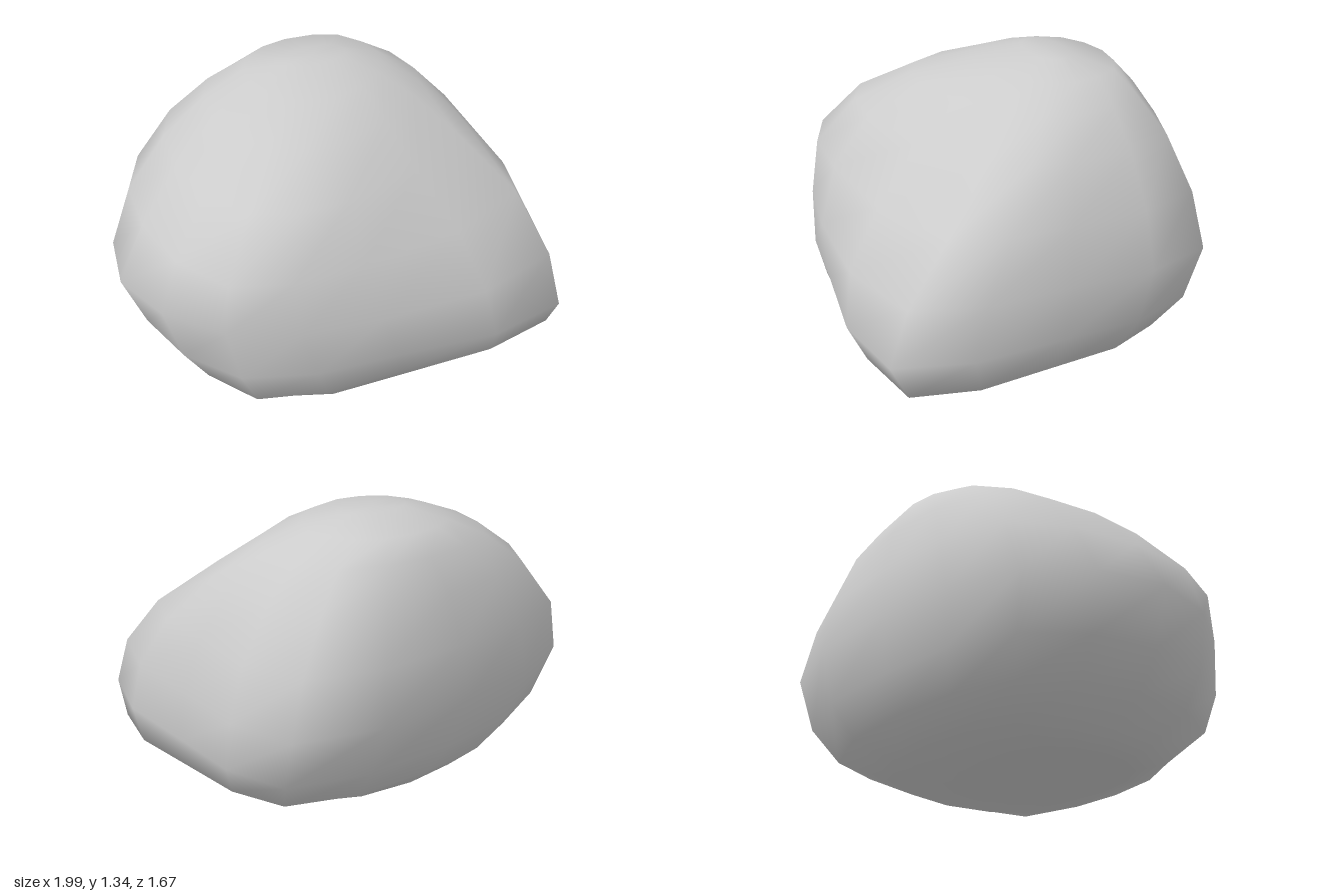
import * as THREE from 'three';

// Horizontal cross-sections from bottom to top: height, x range, z range, x of the
// foremost point, x and z of the front-left ridge, then how far the section reaches
// into the front-right, back-right and back-left corners of its bounding rectangle
const SECTIONS = [
  [0.0, -0.46, 0.36, -0.25, 0.42, -0.08, 0.20, 0.31, 0.78, 0.75, 0.75],
  [0.05, -0.57, 0.69, -0.51, 0.60, 0.05, 0.52, 0.47, 0.79, 0.75, 0.77],
  [0.17, -0.76, 0.92, -0.65, 0.70, 0.08, 0.89, 0.70, 0.81, 0.74, 0.83],
  [0.33, -0.90, 0.97, -0.75, 0.76, 0.02, 0.89, 0.78, 0.76, 0.73, 0.87],
  [0.57, -1.00, 0.96, -0.81, 0.76, -0.06, 0.87, 0.69, 0.72, 0.73, 0.90],
  [0.82, -0.86, 0.89, -0.79, 0.67, -0.12, 0.80, 0.48, 0.82, 0.78, 0.88],
  [1.05, -0.66, 0.76, -0.74, 0.50, -0.10, 0.62, 0.22, 0.82, 0.77, 0.84],
  [1.20, -0.44, 0.62, -0.66, 0.27, -0.02, 0.48, 0.05, 0.79, 0.76, 0.79],
  [1.29, -0.22, 0.46, -0.59, 0.04, 0.08, 0.36, -0.08, 0.75, 0.73, 0.75],
  [1.34, -0.05, 0.29, -0.38, -0.20, 0.12, 0.24, -0.22, 0.71, 0.71, 0.71],
];
const SIDES = 16;

// One closed ring of points around a section, running from +x towards +z
function ring([y, x0, x1, z0, z1, frontX, ridgeX, ridgeZ, frontRight, backRight, backLeft]) {
  const cx = (x0 + x1) / 2, cz = (z0 + z1) / 2;
  const corner = (x, z, reach) => [cx + (x - cx) * reach, cz + (z - cz) * reach];
  const outline = [
    [x1, cz], [ridgeX, ridgeZ],
    [frontX, z1], corner(x0, z1, frontRight),
    [x0, cz], corner(x0, z0, backRight),
    [cx, z0], corner(x1, z0, backLeft),
  ];
  const curve = new THREE.CatmullRomCurve3(
    outline.map(([x, z]) => new THREE.Vector3(x, y, z)), true);
  return Array.from({ length: SIDES }, (_, j) => curve.getPoint(j / SIDES));
}

// Skin the rings and close both ends
function loft(rings) {
  const points = rings.flat();
  const index = [];
  for (let i = 0; i < rings.length - 1; i++) {
    for (let j = 0; j < SIDES; j++) {
      const a = i * SIDES + j, b = i * SIDES + (j + 1) % SIDES;
      index.push(a, a + SIDES, b, b, a + SIDES, b + SIDES);
    }
  }
  const centre = (r) => r.reduce((sum, p) => sum.add(p), new THREE.Vector3()).divideScalar(SIDES);
  const bottom = points.push(centre(rings[0])) - 1;
  const top = points.push(centre(rings[rings.length - 1])) - 1;
  const last = (rings.length - 1) * SIDES;
  for (let j = 0; j < SIDES; j++) {
    const n = (j + 1) % SIDES;
    index.push(bottom, j, n, last + j, top, last + n);
  }
  const geometry = new THREE.BufferGeometry().setFromPoints(points);
  geometry.setIndex(index);
  geometry.computeVertexNormals();
  return geometry;
}

export function createModel() {
  const group = new THREE.Group();
  group.name = 'boulder';
  const rock = new THREE.Mesh(
    loft(SECTIONS.map(ring)),
    new THREE.MeshStandardMaterial({ color: 0xcccccc }),
  );
  rock.name = 'rock';
  group.add(rock);
  return group;
}
